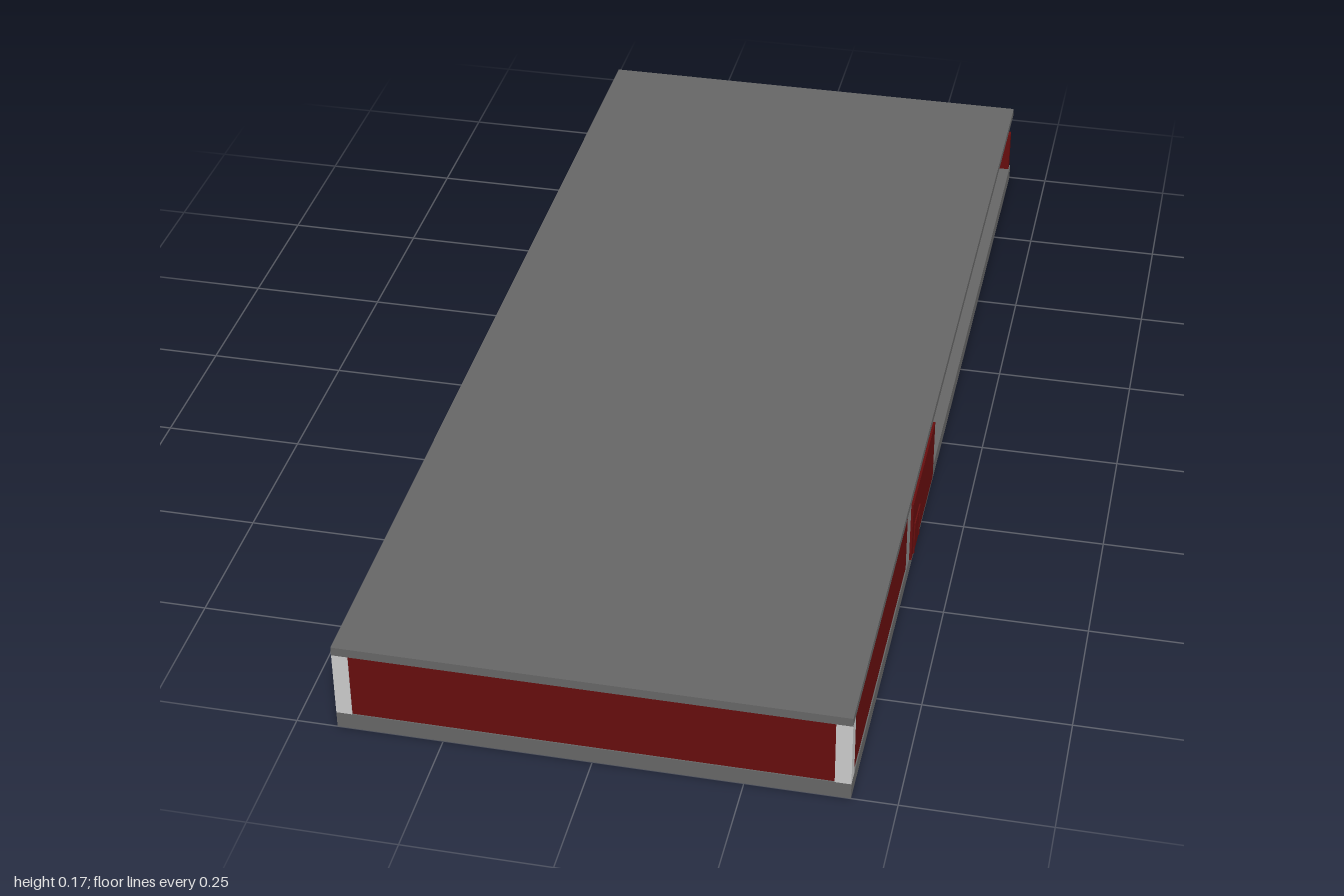
import * as THREE from 'three';

const mat = (color) => new THREE.MeshStandardMaterial({ color });

export function createModel() {
  const model = new THREE.Group();
  const slabGrey = mat(0x666666), pillarGrey = mat(0xcccccc), red = mat(0x660d0d);
  const frameGrey = mat(0x555555), glassBlue = mat(0xa0a0d0);

  // Box given by its low and high limits on each axis
  function box(name, material, [x0, x1], [y0, y1], [z0, z1], parent = model) {
    const mesh = new THREE.Mesh(new THREE.BoxGeometry(x1 - x0, y1 - y0, z1 - z0), material);
    mesh.position.set((x0 + x1) / 2, (y0 + y1) / 2, (z0 + z1) / 2);
    mesh.name = name;
    parent.add(mesh);
    return mesh;
  }

  const L = -0.43, R = 0.424, P = 0.027;   // outer faces and pillar width
  const floor = 0.03, ceiling = 0.15, sill = 0.112;
  const height = [floor, ceiling];

  // Floor and flat roof
  box('floorSlab', slabGrey, [L, R], [0, floor], [-1, 1]);
  box('roofSlab', slabGrey, [L, R], [ceiling, 0.166], [-1, 1]);

  // Pillars
  const farSide = [L, L + P], nearSide = [R - P, R];
  box('frontPillar', pillarGrey, farSide, height, [1 - P, 1]);
  box('frontPillar', pillarGrey, nearSide, height, [1 - P, 1]);
  box('sidePillar', pillarGrey, farSide, height, [0.134, 0.161]);
  box('sidePillar', pillarGrey, farSide, height, [-0.44, -0.413]);
  box('cornerPost', frameGrey, [L, L + 0.014], height, [-1, -0.986]);

  // Solid wall panels
  const farWall = [L + 0.002, L + 0.022];
  box('frontWall', red, [L + P, R - P], height, [0.978, 0.998]);
  box('gateSideWall', red, [R - 0.022, R - 0.002], height, [0.43, 1 - P]);
  box('longWall', red, farWall, height, [0.161, 1 - P]);
  box('longWall', red, farWall, height, [-0.413, 0.134]);
  box('longWall', red, farWall, [floor, sill], [-0.986, -0.44]);
  box('longWallUpper', red, [L + 0.014, L + 0.022], [sill, ceiling], [-0.986, -0.44]);
  box('backWall', red, [L + 0.014, R - 0.002], [floor, sill], [-0.998, -0.982]);

  // Sliding gate standing outside the wall, with a small framed door
  box('slidingGate', red, [R, R + 0.004], height, [0.15, 0.405]);
  const door = new THREE.Group();
  door.name = 'gateDoor';
  model.add(door);
  const doorX = [R + 0.004, 0.43];
  box('doorLeaf', red, [R + 0.004, 0.429], [floor, 0.092], [0.33, 0.38], door);
  box('doorFrameTop', red, doorX, [0.09, 0.095], [0.325, 0.385], door);
  for (const z of [0.325, 0.38]) box('doorFrameSide', red, doorX, [floor, 0.09], [z, z + 0.005], door);

  // Row of awning windows: built along x, facing +z, hinged at the top edge
  function windowRow(name, length, count) {
    const row = new THREE.Group();
    row.name = name;
    const pitch = length / count, h = 0.032, bar = 0.004, w = pitch - 0.008;
    for (let i = 0; i < count; i++) {
      const x = -length / 2 + pitch * (i + 0.5);
      const sash = new THREE.Group();
      sash.name = 'windowSash';
      sash.position.x = x;
      sash.rotation.x = -0.2;
      row.add(sash);
      box('glassPane', glassBlue, [-w / 2, w / 2], [-h + bar, -bar], [-0.001, 0.001], sash);
      for (const y of [-h, -bar]) box('sashRail', frameGrey, [-w / 2, w / 2], [y, y + bar], [-0.002, 0.002], sash);
      for (const s of [-1, 1]) box('sashStile', frameGrey, [s * w / 2 - bar / 2, s * w / 2 + bar / 2], [-h, 0], [-0.002, 0.002], sash);
    }
    for (let i = 1; i < count; i++) {
      const x = -length / 2 + pitch * i;
      box('mullion', frameGrey, [x - 0.005, x + 0.005], [-0.035, 0.004], [-0.004, 0.004], row);
    }
    model.add(row);
    return row;
  }

  const backWindows = windowRow('backWindows', 0.82, 4);
  backWindows.position.set(-0.005, 0.146, -0.99);
  backWindows.rotation.y = Math.PI;

  const sideWindows = windowRow('sideWindows', 0.53, 3);
  sideWindows.position.set(L + 0.006, 0.146, -0.713);
  sideWindows.rotation.y = -Math.PI / 2;

  return model;
}
